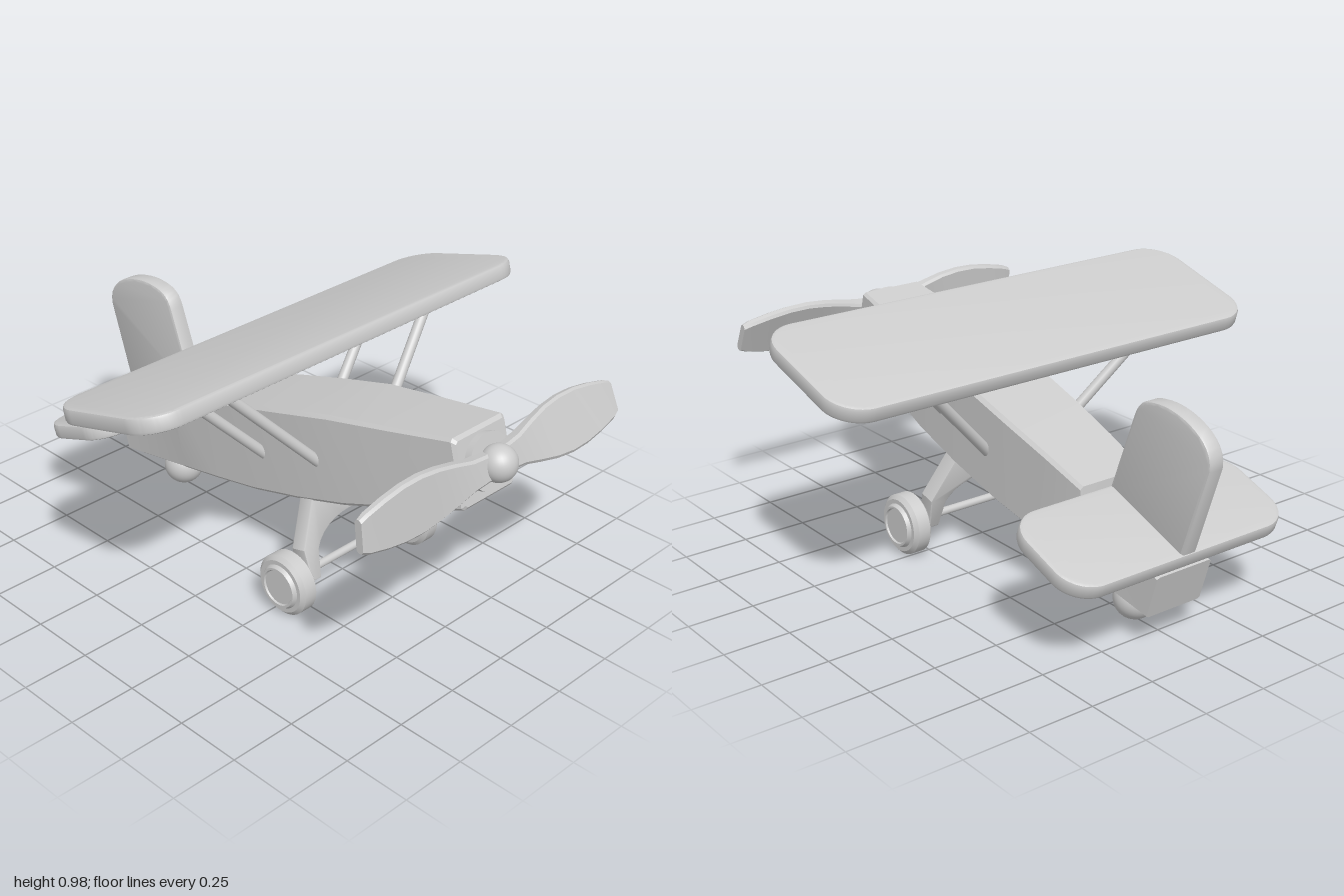
import * as THREE from 'three';
import { toCreasedNormals } from 'three/addons/utils/BufferGeometryUtils.js';

const TILT = 0.27; // nose-up attitude resting on the tail ball
const material = new THREE.MeshStandardMaterial({ color: 0xcccccc });

function part(name, geometry, x = 0, y = 0, z = 0, tilt = 0) {
  const mesh = new THREE.Mesh(geometry, material);
  mesh.name = name;
  mesh.position.set(x, y, z);
  mesh.rotation.z = tilt;
  return mesh;
}

// Bevelled rectangle, counter-clockwise, as [a, b] pairs
function bevelledRect(a, b, c) {
  return [[a, -b + c], [a, b - c], [a - c, b], [-a + c, b],
    [-a, b - c], [-a, -b + c], [-a + c, -b], [a - c, -b]];
}

// Closed skin over a row of equal-length rings of [x, y, z]
function loft(rings) {
  const n = rings[0].length, points = rings.flat(), index = [];
  const last = (rings.length - 1) * n;
  for (let i = 0; i < rings.length - 1; i++) {
    for (let j = 0; j < n; j++) {
      const a = i * n + j, b = i * n + (j + 1) % n;
      index.push(a, b, b + n, a, b + n, a + n);
    }
  }
  for (let j = 1; j < n - 1; j++) {
    index.push(0, j + 1, j, last, last + j, last + j + 1);
  }
  const g = new THREE.BufferGeometry();
  g.setAttribute('position', new THREE.Float32BufferAttribute(points.flat(), 3));
  g.setIndex(index);
  return toCreasedNormals(g, 0.4);
}

// Extrusion centred on its depth with softened edges
function plate(shape, depth, bevel) {
  const g = new THREE.ExtrudeGeometry(shape, {
    depth: depth - 2 * bevel, bevelThickness: bevel, bevelSize: bevel,
    bevelOffset: -bevel, bevelSegments: 2, curveSegments: 12,
  });
  g.translate(0, 0, bevel - depth / 2);
  return toCreasedNormals(g, 0.5);
}

// Flat board with rounded corners, lying in the xz plane
function board(chord, span, thickness, r) {
  const a = chord / 2, b = span / 2, s = new THREE.Shape();
  s.moveTo(-a + r, -b);
  s.lineTo(a - r, -b).absarc(a - r, -b + r, r, -Math.PI / 2, 0);
  s.lineTo(a, b - r).absarc(a - r, b - r, r, 0, Math.PI / 2);
  s.lineTo(-a + r, b).absarc(-a + r, b - r, r, Math.PI / 2, Math.PI);
  s.lineTo(-a, -b + r).absarc(-a + r, -b + r, r, Math.PI, Math.PI * 1.5);
  return plate(s, thickness, 0.012).rotateX(-Math.PI / 2);
}

// Round rod between two points
function rod(name, from, to, radius) {
  const a = new THREE.Vector3(...from), b = new THREE.Vector3(...to);
  const mesh = part(name, new THREE.CylinderGeometry(radius, radius, a.distanceTo(b), 20));
  mesh.position.copy(a).add(b).multiplyScalar(0.5);
  mesh.quaternion.setFromUnitVectors(new THREE.Vector3(0, 1, 0), b.sub(a).normalize());
  return mesh;
}

function fuselage() {
  // top x, top y, bottom x, bottom y, half width
  const stations = [
    [-0.87, 0.28, -0.82, 0.115, 0.12],
    [-0.51, 0.415, -0.46, 0.192, 0.143],
    [-0.505, 0.485, -0.455, 0.193, 0.145],
    [-0.32, 0.55, -0.25, 0.237, 0.157],
    [-0.13, 0.61, -0.04, 0.285, 0.167],
    [0.1, 0.678, 0.19, 0.35, 0.172],
    [0.32, 0.74, 0.41, 0.42, 0.17],
    [0.58, 0.793, 0.66, 0.513, 0.152],
    [0.835, 0.845, 0.9, 0.603, 0.13],
    [0.85, 0.836, 0.908, 0.615, 0.12],
  ];
  return loft(stations.map(([tx, ty, bx, by, w]) =>
    bevelledRect(1, 1, 0.08).map(([v, h]) => {
      const t = (v + 1) / 2;
      return [bx + (tx - bx) * t, by + (ty - by) * t, h * w];
    })));
}

function propellerBlades() {
  // distance from hub, half chord, half thickness
  const half = [[0.06, 0.048, 0.028], [0.12, 0.054, 0.026], [0.2, 0.075, 0.022],
    [0.28, 0.093, 0.02], [0.36, 0.102, 0.019], [0.44, 0.1, 0.018],
    [0.52, 0.088, 0.018], [0.6, 0.07, 0.017], [0.628, 0.058, 0.014]];
  const all = [...half.map(([z, c, t]) => [-z, c, t]).reverse(), [0, 0.046, 0.028], ...half];
  return loft(all.map(([z, c, t]) => {
    const twist = -0.16 * THREE.MathUtils.clamp(z / 0.25, -1, 1);
    const cs = Math.cos(twist), sn = Math.sin(twist);
    return bevelledRect(t, c, 0.009).map(([x, y]) => [x * cs - y * sn, x * sn + y * cs, z]);
  }));
}

function finShape() {
  const s = new THREE.Shape();
  s.moveTo(-0.885, 0.33);
  s.lineTo(-0.997, 0.67);
  s.bezierCurveTo(-1.015, 0.78, -0.86, 0.832, -0.77, 0.832);
  s.bezierCurveTo(-0.68, 0.83, -0.655, 0.81, -0.635, 0.76);
  s.lineTo(-0.52, 0.45);
  return s;
}

function gearShape() {
  const s = new THREE.Shape();
  s.moveTo(-0.155, 0.27);
  s.lineTo(-0.245, 0.09);
  s.lineTo(-0.235, -0.035);
  s.lineTo(-0.19, -0.035);
  s.lineTo(-0.175, 0.07);
  s.bezierCurveTo(-0.12, 0.185, 0.12, 0.185, 0.175, 0.07);
  s.lineTo(0.19, -0.035);
  s.lineTo(0.235, -0.035);
  s.lineTo(0.245, 0.09);
  s.lineTo(0.155, 0.27);
  return s;
}

function wheel() {
  const profile = [[0, -0.04], [0.1, -0.04], [0.115, -0.028], [0.115, 0.022], [0.1, 0.036],
    [0.084, 0.036], [0.076, 0.05], [0.068, 0.05], [0.064, 0.044], [0, 0.044]];
  const g = new THREE.LatheGeometry(profile.map(p => new THREE.Vector2(...p)), 40);
  return toCreasedNormals(g, 0.5);
}

export function createModel() {
  const model = new THREE.Group();
  model.name = 'toyPlane';

  // Body and flying surfaces
  model.add(
    part('fuselage', fuselage()),
    part('wing', board(0.55, 1.805, 0.06, 0.13), 0.028, 0.885, 0, 0.28),
    part('stabilizer', board(0.39, 0.965, 0.058, 0.12), -0.702, 0.38, 0, 0.345),
    part('fin', plate(finShape(), 0.064, 0.01)),
    part('tailBall', new THREE.SphereGeometry(0.077, 32, 24), -0.63, 0.08),
  );

  // Landing gear
  model.add(part('gearBracket', plate(gearShape(), 0.065, 0.006).rotateY(Math.PI / 2),
    0.29, 0.122, 0, TILT));
  model.add(rod('axle', [0.29, 0.12, -0.32], [0.29, 0.12, 0.32], 0.015));

  // Wing struts and wheels on both sides
  for (const side of [-1, 1]) {
    model.add(
      rod('rearStrut', [0.005, 0.45, side * 0.15], [-0.102, 0.84, side * 0.53], 0.02),
      rod('frontStrut', [0.277, 0.53, side * 0.15], [0.168, 0.915, side * 0.52], 0.02),
    );
    const w = part('wheel', wheel(), 0.29, 0.118, side * 0.32);
    w.rotation.x = side * Math.PI / 2;
    model.add(w);
  }

  // Propeller with backing washer and round nose cap
  const propeller = new THREE.Group();
  propeller.name = 'propeller';
  propeller.position.set(0.915, 0.742, 0);
  propeller.rotation.z = TILT;
  propeller.add(
    part('washer', new THREE.CylinderGeometry(0.1, 0.1, 0.035, 40).rotateZ(Math.PI / 2), -0.03),
    part('blades', propellerBlades()),
    part('noseCap', new THREE.SphereGeometry(0.065, 32, 24), 0.02, 0),
  );
  model.add(propeller);
  return model;
}
